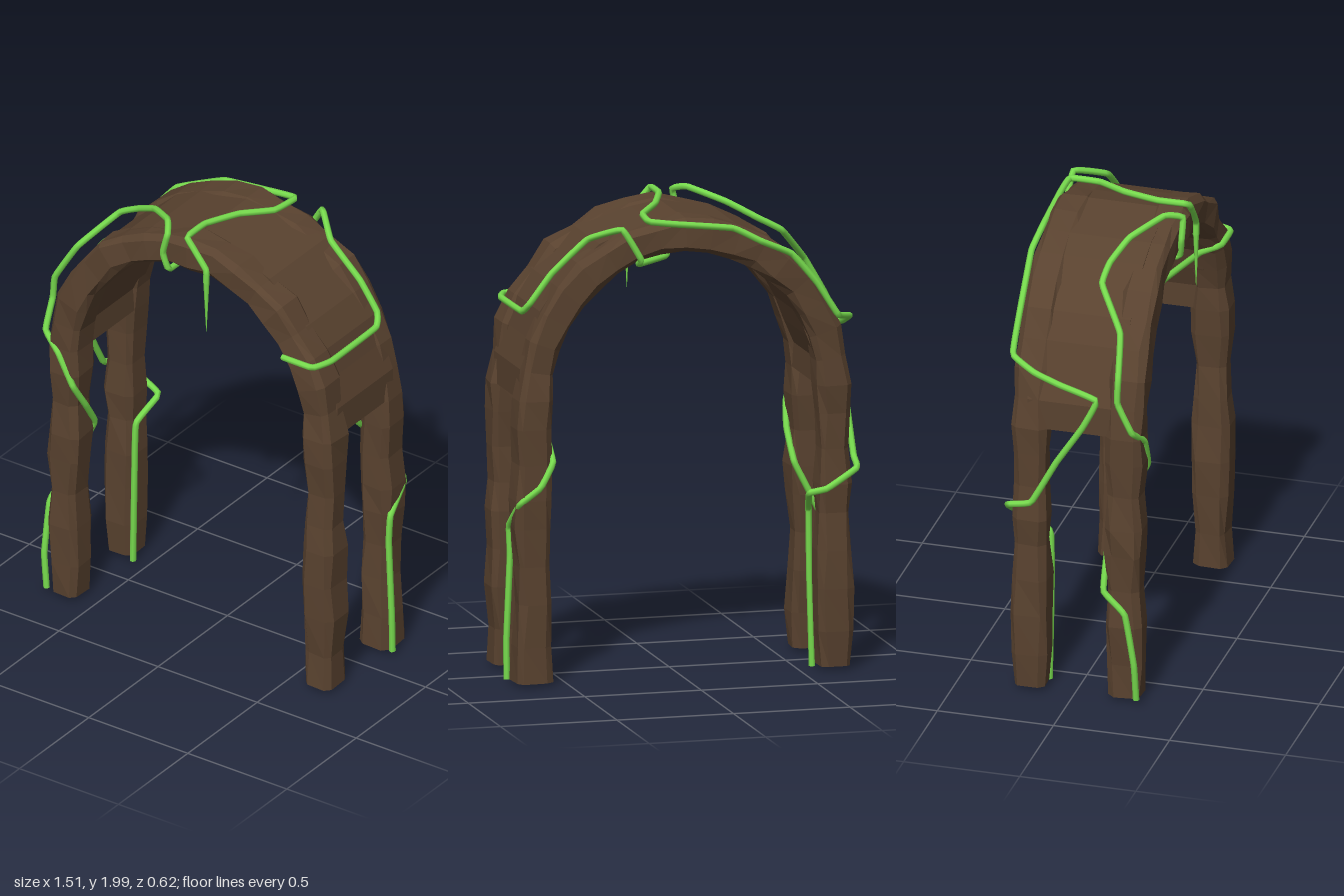
import * as THREE from 'three';

const bark = new THREE.MeshStandardMaterial({ color: 0x59422f, flatShading: true });
const leafGreen = new THREE.MeshStandardMaterial({ color: 0x78dd4e, side: THREE.DoubleSide });

const SPRING = 1.22; // height where the legs turn into the arch

function seeded(seed) {
  return () => {
    seed = (seed * 16807) % 2147483647;
    return seed / 2147483647;
  };
}

// Centre line of one frame: up a leg, round the arch, down the other leg
function frameStations() {
  const list = [];
  const legY = [0.03, 0.18, 0.36, 0.52, 0.68, 0.8, 0.95, 1.1];
  for (const y of legY) list.push({ x: -0.645, y, nx: -1, ny: 0 });
  const n = 18;
  for (let i = 0; i <= n; i++) {
    const a = Math.PI * (1 - i / n);
    list.push({ x: 0.64 * Math.cos(a), y: SPRING + 0.668 * Math.sin(a), nx: Math.cos(a), ny: Math.sin(a) });
  }
  for (const y of legY.slice().reverse()) list.push({ x: 0.645, y, nx: 1, ny: 0 });
  return list;
}

// Rough-hewn beam swept along the centre line, with an uneven chamfered section
function roughFrame(z, seed) {
  const rnd = seeded(seed);
  const section = [[1, -0.65], [1, 0.65], [0.65, 1], [-0.65, 1], [-1, 0.65], [-1, -0.65], [-0.65, -1], [0.65, -1]];
  const sides = section.length;
  const pos = [], idx = [];
  const stations = frameStations();
  stations.forEach((s) => {
    const swell = 0.069 + (rnd() - 0.5) * 0.017;
    const shift = (rnd() - 0.5) * 0.012;
    for (const [u, v] of section) {
      const a = u * swell + shift + (rnd() - 0.5) * 0.012;
      const b = v * (swell + 0.004) + (rnd() - 0.5) * 0.012;
      pos.push(s.x + s.nx * a, s.y + s.ny * a, z + b);
    }
  });
  const last = stations.length - 1;
  for (let i = 0; i < last; i++) {
    for (let j = 0; j < sides; j++) {
      const k = (j + 1) % sides;
      const a = i * sides + j, b = i * sides + k;
      idx.push(a, b, a + sides, b, b + sides, a + sides);
    }
  }
  // end caps
  for (let j = 1; j < sides - 1; j++) {
    idx.push(0, j + 1, j);
    idx.push(last * sides, last * sides + j, last * sides + j + 1);
  }
  const g = new THREE.BufferGeometry();
  g.setAttribute('position', new THREE.Float32BufferAttribute(pos, 3));
  g.setIndex(idx);
  // keep the faces outward whichever way the loop runs
  const flat = g.toNonIndexed();
  const p = flat.attributes.position;
  const v = [0, 1, 2].map((i) => new THREE.Vector3().fromBufferAttribute(p, i + 6 * 6));
  const normal = new THREE.Vector3().subVectors(v[1], v[0]).cross(new THREE.Vector3().subVectors(v[2], v[0]));
  const out = v[0].clone().add(v[1]).add(v[2]).divideScalar(3).sub(new THREE.Vector3(-0.645, v[0].y, z));
  if (normal.dot(out) < 0) {
    for (let i = 0; i < idx.length; i += 3) [idx[i], idx[i + 1]] = [idx[i + 1], idx[i]];
    g.setIndex(idx);
  }
  g.computeVertexNormals();
  return g;
}

// Curved canopy filling the space between the two frames
function canopyGeometry() {
  const n = 18;
  const outer = [], inner = [];
  for (let i = 0; i <= n; i++) {
    const a = (Math.PI * i) / n;
    const wob = 0.008 * Math.sin(i * 2.3);
    outer.push(new THREE.Vector2((0.7 + wob) * Math.cos(a), SPRING + (0.73 + wob) * Math.sin(a)));
    inner.push(new THREE.Vector2((0.575 + wob) * Math.cos(a), SPRING + (0.6 + wob) * Math.sin(a)));
  }
  const shape = new THREE.Shape([...outer, ...inner.reverse()]);
  const g = new THREE.ExtrudeGeometry(shape, { depth: 0.4, bevelEnabled: false });
  g.translate(0, 0, -0.2);
  return g;
}

function vineGeometry(points, radius = 0.014) {
  const path = new THREE.CatmullRomCurve3(points.map((p) => new THREE.Vector3(...p)), false, 'catmullrom', 0.15);
  return new THREE.TubeGeometry(path, points.length * 7, radius, 7, false);
}

export function createModel() {
  const group = new THREE.Group();
  const add = (name, geometry, material) => {
    const mesh = new THREE.Mesh(geometry, material);
    mesh.name = name;
    group.add(mesh);
    return mesh;
  };

  add('frontFrame', roughFrame(0.212, 17), bark);
  add('backFrame', roughFrame(-0.195, 4021), bark);
  add('canopy', canopyGeometry(), bark);

  // Vine crossing the crown, following the back edge and ending on the back right-hand leg of the viewer's left
  add('crownVine', vineGeometry([
    [0.1, 1.8, 0.295], [0.1, 1.86, 0.295], [0.03, 1.95, 0.295], [0, 1.985, 0.29], [0, 1.985, 0.16], [0.06, 1.975, 0],
    [0.15, 1.96, -0.13], [0.16, 1.955, -0.265], [0.05, 1.94, -0.275], [-0.2, 1.91, -0.275],
    [-0.32, 1.85, -0.29], [-0.45, 1.79, -0.275], [-0.56, 1.66, -0.275], [-0.65, 1.52, -0.275],
    [-0.73, 1.49, -0.16], [-0.735, 1.45, -0.05], [-0.74, 1.4, 0.11], [-0.745, 1.27, 0.05],
    [-0.745, 1.1, -0.06], [-0.745, 0.9, -0.17], [-0.73, 0.87, -0.275], [-0.6, 0.79, -0.285],
    [-0.53, 0.77, -0.26], [-0.56, 0.68, -0.14], [-0.565, 0.4, -0.135], [-0.575, 0.015, -0.14],
  ]), leafGreen);

  // Thin shoot hanging from the crown
  const shoot = add('hangingShoot', new THREE.CylinderGeometry(0.013, 0.001, 0.24, 6), leafGreen);
  shoot.position.set(0.1, 1.685, 0.295);

  // Vine wrapping under the crown and winding down the left legs and right legs
  add('windingVine', vineGeometry([
    [-0.72, 0.04, 0.275], [-0.735, 0.2, 0.27], [-0.735, 0.43, 0.23], [-0.72, 0.52, 0.135],
    [-0.65, 0.67, 0.13], [-0.575, 0.82, 0.135], [-0.565, 0.95, 0.22], [-0.58, 1.06, 0.285],
    [-0.65, 1.2, 0.29], [-0.735, 1.27, 0.26], [-0.74, 1.4, 0.2], [-0.73, 1.5, 0.2],
    [-0.63, 1.67, 0.18], [-0.5, 1.82, 0.065], [-0.4, 1.875, 0.07], [-0.28, 1.94, 0.12],
    [-0.14, 1.99, 0.23], [-0.095, 1.97, 0.295], [-0.12, 1.87, 0.295], [-0.1, 1.79, 0.28],
    [-0.1, 1.785, 0.13], [0, 1.79, 0], [0.06, 1.785, -0.16], [0.2, 1.775, -0.25],
    [0.2, 1.8, -0.295], [0.28, 1.93, -0.285], [0.4, 1.875, -0.175], [0.55, 1.74, -0.17],
    [0.64, 1.62, -0.165], [0.665, 1.575, -0.12], [0.665, 1.57, 0.2], [0.63, 1.57, 0.29],
    [0.48, 1.57, 0.29], [0.49, 1.52, 0.2], [0.535, 1.35, 0.03], [0.565, 1.22, -0.07],
    [0.57, 1.08, -0.13], [0.57, 0.96, -0.26], [0.63, 0.86, -0.285], [0.71, 0.79, -0.26],
    [0.725, 0.68, -0.14], [0.72, 0.55, -0.135], [0.735, 0.2, -0.135], [0.735, 0.03, -0.14],
  ]), leafGreen);

  return group;
}
